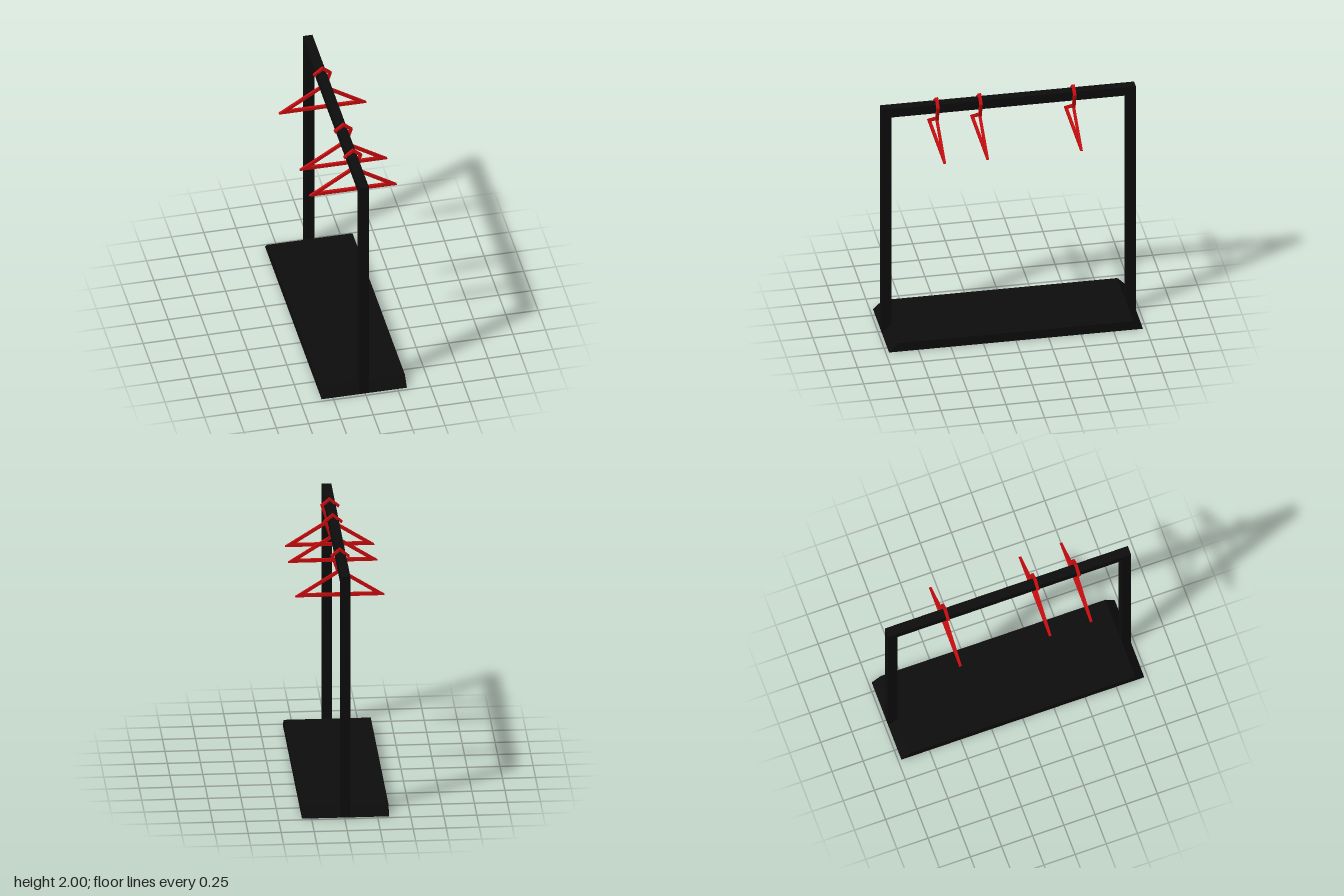
import * as THREE from 'three';

const black = new THREE.MeshStandardMaterial({ color: 0x0c0c0c });
const red = new THREE.MeshStandardMaterial({ color: 0xc80c0e });

const HALF = 0.975;   // half length of the rack along z
const BAR = 0.073;    // square section of the frame
const BAR_X = -0.008; // frame and base sit slightly off centre

const toPoints = (list) => list.map(([x, y]) => new THREE.Vector2(x, y));

function addBox(parent, name, size, position) {
  const mesh = new THREE.Mesh(new THREE.BoxGeometry(...size), black);
  mesh.name = name;
  mesh.position.set(...position);
  parent.add(mesh);
}

// Flat outline given thickness along z, centred on z = 0
function plate(shape, depth) {
  return new THREE.ExtrudeGeometry(shape, { depth, bevelEnabled: false })
    .translate(0, 0, -depth / 2);
}

// Base plank whose two ends slope inward toward the top
function makeBase() {
  const shape = new THREE.Shape(toPoints([
    [-HALF, 0], [HALF, 0], [HALF - BAR, BAR], [-HALF + BAR, BAR],
  ]));
  const base = new THREE.Mesh(plate(shape, 0.66).rotateY(Math.PI / 2), black);
  base.name = 'base';
  base.position.x = BAR_X;
  return base;
}

// Triangular hanger with an angular hook over the rail
function makeHanger(z) {
  const hanger = new THREE.Group();
  hanger.name = 'hanger';

  const triangle = new THREE.Shape(toPoints([
    [-0.338, 1.612], [0.338, 1.612], [0.338, 1.618], [0, 1.832], [-0.338, 1.618],
  ]));
  triangle.holes.push(new THREE.Path(toPoints([
    [-0.262, 1.638], [0, 1.804], [0.262, 1.638],
  ])));
  const body = new THREE.Mesh(plate(triangle, 0.02), red);
  body.name = 'hangerBody';

  const hookShape = new THREE.Shape(toPoints([
    [0.005, 1.812], [0.027, 1.812], [0.07, 1.942], [0, 2], [-0.074, 1.938],
    [-0.066, 1.922], [0, 1.976], [0.045, 1.938],
  ]));
  const hook = new THREE.Mesh(plate(hookShape, 0.024), red);
  hook.name = 'hangerHook';

  hanger.add(body, hook);
  hanger.position.z = z;
  return hanger;
}

export function createModel() {
  const model = new THREE.Group();
  model.name = 'clothesRack';
  model.add(makeBase());

  // Upright posts at both ends
  const postZ = HALF - BAR / 2;
  addBox(model, 'frontPost', [BAR, 1.95, BAR], [BAR_X, 0.975, postZ]);
  addBox(model, 'backPost', [BAR, 1.95, BAR], [BAR_X, 0.975, -postZ]);

  // Rail between the posts
  addBox(model, 'topRail', [BAR, BAR, 2 * (HALF - BAR)], [BAR_X, 1.95 - BAR / 2, 0]);

  for (const z of [0.55, 0.22, -0.5]) model.add(makeHanger(z));
  return model;
}
